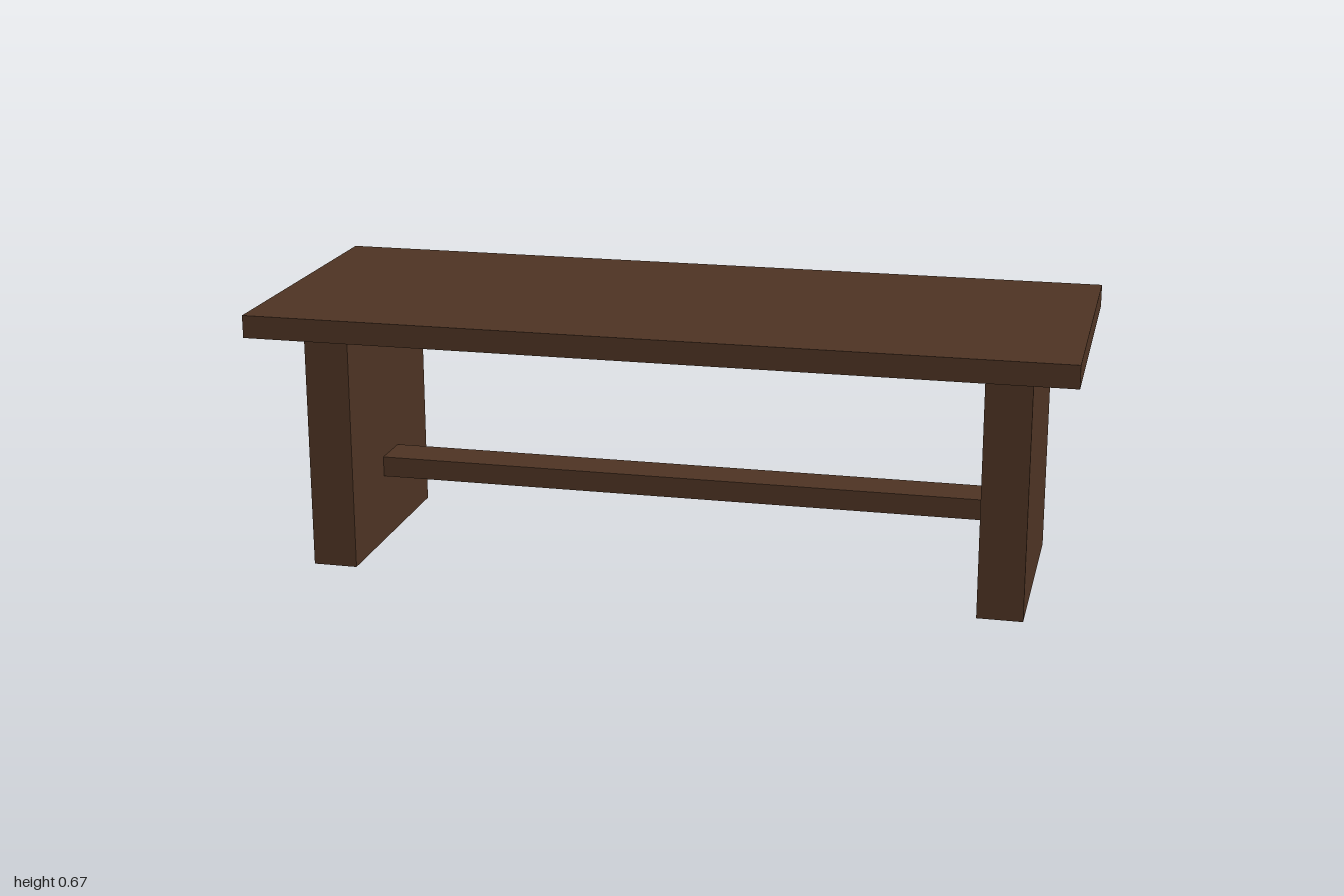
import * as THREE from 'three';

export function createModel() {
  const group = new THREE.Group();
  group.name = 'table';

  const wood = new THREE.MeshStandardMaterial({ color: 0x4d3323 });
  wood.name = 'dark wood';

  // Box given by its size, the height of its underside and its x centre
  function board(name, width, height, depth, bottom, x = 0) {
    const mesh = new THREE.Mesh(new THREE.BoxGeometry(width, height, depth), wood);
    mesh.name = name;
    mesh.position.set(x, bottom + height / 2, 0);
    group.add(mesh);
  }

  const legHeight = 0.611;
  const legThickness = 0.111;
  const legX = 0.8335;

  // Table top
  board('tableTop', 2, 0.056, 0.778, legHeight);

  // Slab legs at both ends
  board('leftLeg', legThickness, legHeight, 0.556, 0, legX);
  board('rightLeg', legThickness, legHeight, 0.556, 0, -legX);

  // Stretcher between the inner faces of the legs
  board('stretcher', 2 * legX - legThickness, 0.052, 0.111, 0.169);

  return group;
}
